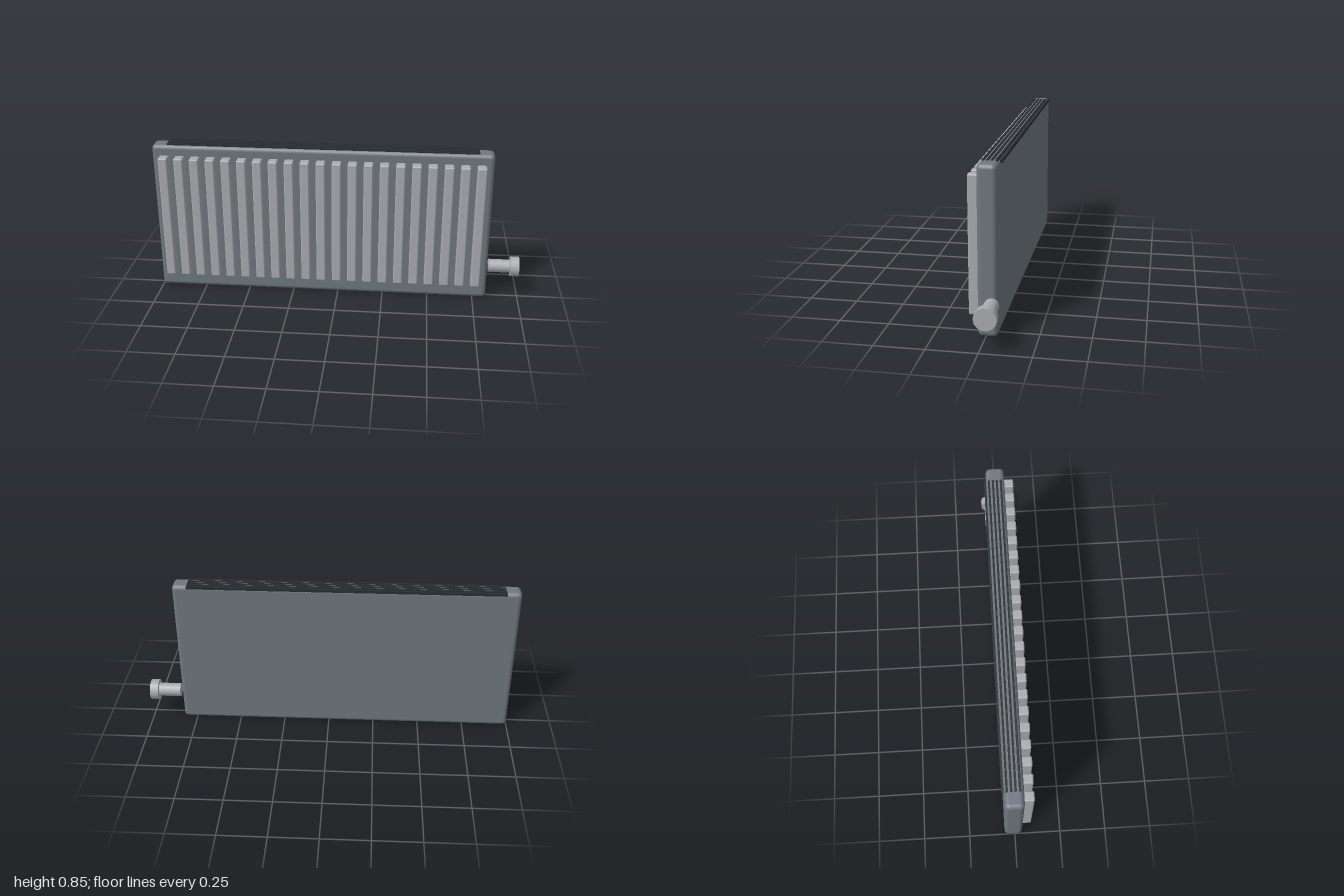
import * as THREE from 'three';
import { RoundedBoxGeometry } from 'three/addons/geometries/RoundedBoxGeometry.js';

const CENTER_X = -0.088; // middle of the panel; the valve sticks out to +x

function material(name, color) {
  const m = new THREE.MeshStandardMaterial({ color });
  m.name = name;
  return m;
}

function addMesh(parent, name, geometry, mat, x, y, z) {
  const mesh = new THREE.Mesh(geometry, mat);
  mesh.name = name;
  mesh.position.set(x, y, z);
  parent.add(mesh);
  return mesh;
}

function addGroup(parent, name) {
  const group = new THREE.Group();
  group.name = name;
  parent.add(group);
  return group;
}

export function createModel() {
  const model = new THREE.Group();
  model.name = 'radiator';

  const panelGrey = material('panel grey', 0x6f777e);
  const lightMetal = material('light metal', 0xa9abb0);
  const grilleDark = material('grille dark', 0x2a2e32);

  // Main panel with softly rounded edges
  addMesh(model, 'panel', new RoundedBoxGeometry(1.824, 0.843, 0.097, 3, 0.024),
    panelGrey, CENTER_X, 0.4215, -0.0085);

  // Row of vertical ribs on the front
  const ribs = addGroup(model, 'ribs');
  const ribGeometry = new RoundedBoxGeometry(0.05, 0.693, 0.07, 2, 0.008);
  for (let i = 0; i < 21; i++) {
    addMesh(ribs, 'rib', ribGeometry, lightMetal, CENTER_X + (i - 10) * 0.0846, 0.4385, 0.055);
  }

  // Long slats of the top grille
  const grille = addGroup(model, 'topGrille');
  const slatGeometry = new THREE.BoxGeometry(1.663, 0.015, 0.011);
  for (let i = 0; i < 5; i++) {
    addMesh(grille, 'slat', slatGeometry, grilleDark, CENTER_X, 0.84, 0.021 - i * 0.021);
  }

  // Valve on the left side: stem and knob, both lying along x
  const valve = addGroup(model, 'valve');
  valve.position.set(0, 0.168, -0.032);
  const stem = new THREE.CylinderGeometry(0.037, 0.037, 0.125, 14).rotateZ(-Math.PI / 2);
  const knob = new THREE.CylinderGeometry(0.056, 0.056, 0.046, 14).rotateZ(-Math.PI / 2);
  addMesh(valve, 'valveStem', stem, lightMetal, 0.8955, 0, 0);
  addMesh(valve, 'valveKnob', knob, lightMetal, 0.977, 0, 0);

  return model;
}
